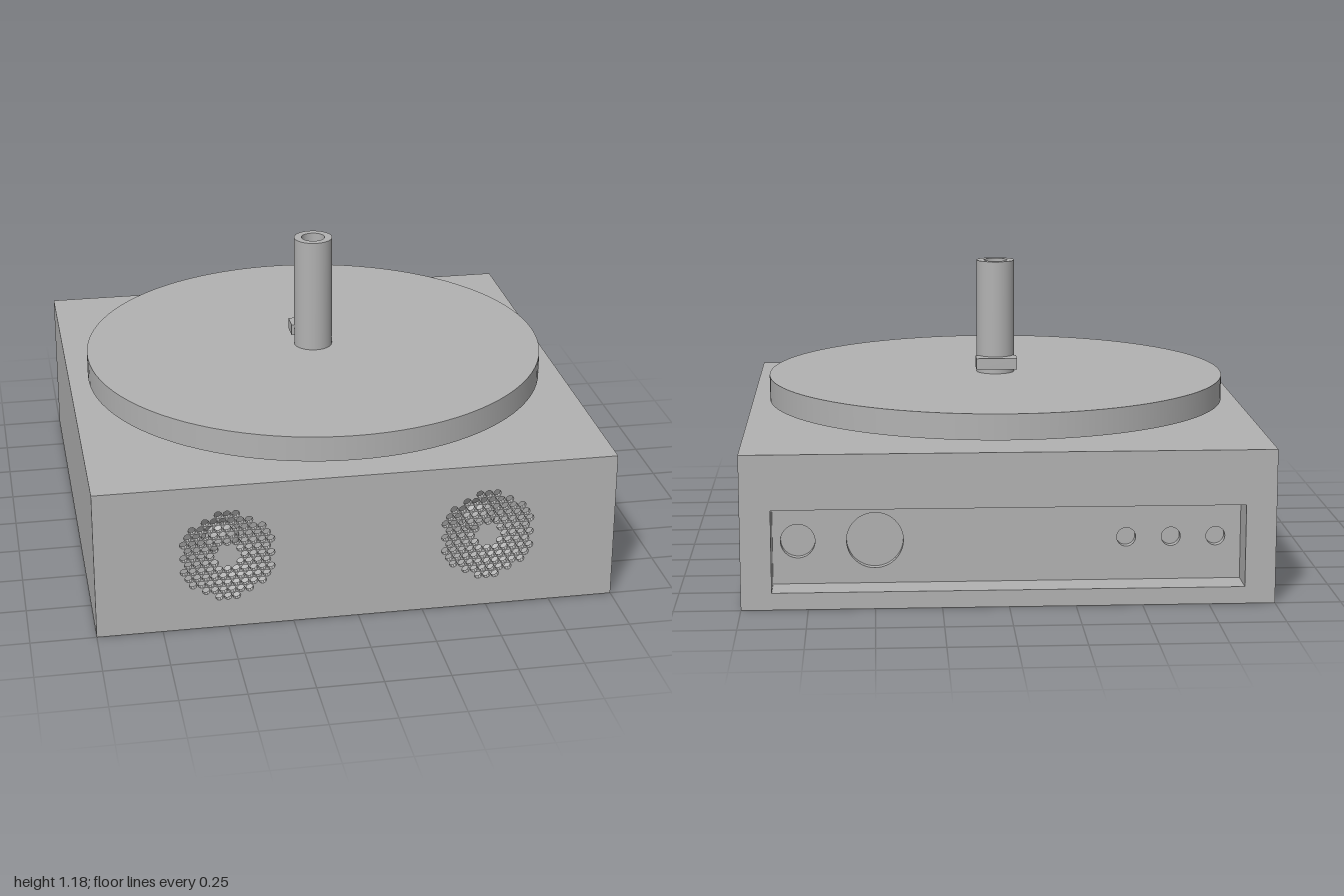
import * as THREE from 'three';

const grey = new THREE.MeshStandardMaterial({ color: 0xb2b2b2 });
grey.name = 'plain grey';

const W = 1, H = 0.59, T = 0.02; // half width, height, wall thickness
const BACK = -0.87;              // plane of the sunken connector panel

function add(parent, name, geometry, x = 0, y = 0, z = 0) {
  const mesh = new THREE.Mesh(geometry, grey);
  mesh.name = name;
  mesh.position.set(x, y, z);
  parent.add(mesh);
  return mesh;
}

function block(parent, name, x0, x1, y0, y1, z0, z1) {
  const g = new THREE.BoxGeometry(x1 - x0, y1 - y0, z1 - z0);
  return add(parent, name, g, (x0 + x1) / 2, (y0 + y1) / 2, (z0 + z1) / 2);
}

function rect(x0, x1, y0, y1, PathType = THREE.Shape) {
  const p = new PathType();
  p.moveTo(x0, y0);
  p.lineTo(x1, y0);
  p.lineTo(x1, y1);
  p.lineTo(x0, y1);
  p.closePath();
  return p;
}

function circleHole(x, y, r) {
  const p = new THREE.Path();
  p.absarc(x, y, r, 0, Math.PI * 2, true);
  return p;
}

function plate(shape, depth, curveSegments) {
  return new THREE.ExtrudeGeometry(shape, { depth, bevelEnabled: false, curveSegments });
}

// Hexagonal pattern of small holes with a solid middle
function grilleHoles(cx, cy) {
  const pitch = 0.033, rowStep = pitch * Math.sqrt(3) / 2, holes = [];
  for (let row = -6; row <= 6; row++) {
    for (let i = -6; i <= 6; i++) {
      const x = (i + (Math.abs(row) % 2) / 2) * pitch, y = row * rowStep;
      const r = Math.hypot(x, y);
      if (r > 0.05 && r < 0.178) holes.push(circleHole(cx + x, cy + y, 0.0148));
    }
  }
  return holes;
}

function createCabinet() {
  const cabinet = new THREE.Group();
  cabinet.name = 'cabinet';

  // Outer walls
  block(cabinet, 'bottom', -W, W, 0, T, BACK, W - T);
  block(cabinet, 'top', -W, W, H - T, H, BACK, W - T);
  for (const s of [-1, 1]) {
    const x = s * (W - T / 2);
    block(cabinet, 'side', x - T / 2, x + T / 2, T, H - T, BACK, W - T);
  }

  // Front panel with two speaker grilles
  const front = rect(-W, W, 0, H);
  for (const x of [-0.5, 0.5]) front.holes.push(...grilleHoles(x, 0.3));
  add(cabinet, 'frontPanel', plate(front, T, 5), 0, 0, W - T);

  // Deep frame around the connector bay
  const frame = rect(-W, W, 0, H);
  frame.holes.push(rect(-0.885, 0.885, 0.065, 0.38, THREE.Path));
  add(cabinet, 'rearFrame', plate(frame, W + BACK, 12), 0, 0, -W);

  // Sunken connector panel with round sockets, closed behind
  const panel = rect(-0.95, 0.95, 0.03, 0.42);
  const sockets = [[0.79, 0.065], [0.5, 0.107], [-0.45, 0.036], [-0.62, 0.036], [-0.79, 0.036]];
  for (const [x, r] of sockets) panel.holes.push(circleHole(x, 0.23, r));
  add(cabinet, 'connectorPanel', plate(panel, 0.03, 24), 0, 0, BACK);
  block(cabinet, 'socketBacking', -0.95, 0.95, 0.03, 0.42, BACK + 0.03, BACK + 0.05);
  return cabinet;
}

// Conical speaker behind a grille
function createSpeaker(x) {
  const speaker = new THREE.Group();
  speaker.name = 'speaker';
  speaker.position.set(x, 0.3, W - T);
  const profile = [[0.065, -0.13], [0.25, -0.002], [0.25, -0.03], [0.065, -0.16], [0, -0.16]];
  const cone = new THREE.LatheGeometry(
    profile.reverse().map(([r, y]) => new THREE.Vector2(r, y)), 48);
  cone.rotateX(Math.PI / 2);
  add(speaker, 'speakerCone', cone);
  const dome = new THREE.SphereGeometry(0.065, 24, 8, 0, Math.PI * 2, 0, Math.PI / 2);
  dome.rotateX(Math.PI / 2);
  dome.scale(1, 1, 0.6);
  add(speaker, 'speakerDome', dome, 0, 0, -0.13);
  return speaker;
}

// Hollow post, each face lathed separately to keep its edges sharp
function createPost() {
  const post = new THREE.Group();
  post.name = 'post';
  const top = 1.18, outer = 0.077, inner = 0.047;
  const profile = [[outer, H], [outer, top], [inner, top], [inner, H], [0, H]];
  for (let i = 0; i < profile.length - 1; i++) {
    const points = [profile[i], profile[i + 1]].map(([r, y]) => new THREE.Vector2(r, y));
    add(post, 'postSurface', new THREE.LatheGeometry(points, 48));
  }
  block(post, 'postTab', -0.083, 0.083, 0.745, 0.79, -0.115, -0.035);
  return post;
}

export function createModel() {
  const model = new THREE.Group();
  model.name = 'turntable';
  model.add(createCabinet(), createSpeaker(-0.5), createSpeaker(0.5), createPost());

  // Round platter floating just above the cabinet, with a bore for the post
  const disc = new THREE.CylinderGeometry(0.925, 0.925, 0.1, 96, 1, true);
  add(model, 'platterRim', disc, 0, 0.67, 0);
  for (const s of [-1, 1]) {
    const face = new THREE.RingGeometry(0.07, 0.925, 96);
    face.rotateX(-s * Math.PI / 2);
    add(model, 'platterFace', face, 0, 0.67 + s * 0.05, 0);
  }
  return model;
}
